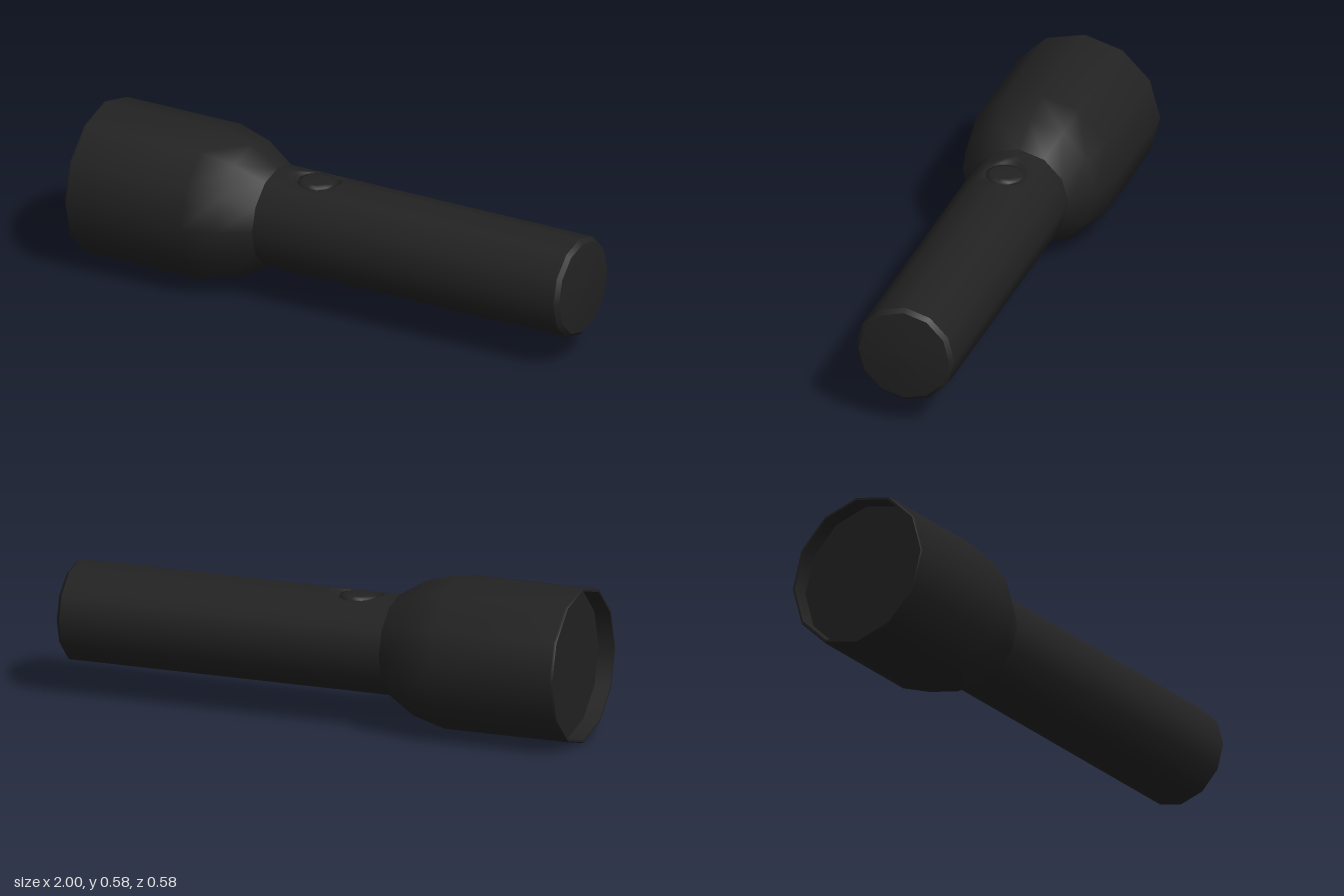
import * as THREE from 'three';

const SIDES = 12;
const AXIS_Y = 0.288;   // height of the centre line
const SHAFT_R = 0.187;
const BUTTON_X = -0.12;
const PATCH_LEN = 0.32; // length of the shaft piece that holds the switch

export function createModel() {
  const black = new THREE.MeshStandardMaterial({ color: 0x222222 });
  black.name = 'matte black';
  const model = new THREE.Group();
  model.name = 'flashlight';

  const add = (name, geometry) => {
    const mesh = new THREE.Mesh(geometry, black);
    mesh.name = name;
    model.add(mesh);
    return mesh;
  };

  // Turned part along x; profile is a list of [x, radius]
  const turned = (name, profile, start = 0, steps = SIDES) => {
    const step = (Math.PI * 2) / SIDES;
    const points = profile.map(([x, r]) => new THREE.Vector2(r, x));
    const geometry = new THREE.LatheGeometry(points, steps, start * step, steps * step);
    geometry.rotateZ(-Math.PI / 2);
    geometry.translate(0, AXIS_Y, 0);
    return add(name, geometry);
  };

  // Head: recessed lens, rim and flared housing
  const lensX = -0.94;
  turned('lens', [[lensX, 0], [lensX, 0.272]]);
  turned('rimInside', [[lensX, 0.272], [-1, 0.276]]);
  turned('rimFace', [[-1, 0.276], [-1, 0.284]]);
  turned('head', [[-1, 0.284], [-0.99, 0.288], [-0.52, 0.288], [-0.39, 0.253], [-0.28, SHAFT_R]]);

  // Shaft: open at the top around the switch, closed behind it
  const patchStart = BUTTON_X - PATCH_LEN / 2;
  const patchEnd = BUTTON_X + PATCH_LEN / 2;
  turned('shaftFront', [[patchStart, SHAFT_R], [patchEnd, SHAFT_R]], 10, 10);
  turned('shaft', [[patchEnd, SHAFT_R], [0.97, SHAFT_R]]);
  turned('tailEdge', [[0.97, SHAFT_R], [0.985, 0.172]]);
  turned('tailCap', [[0.985, 0.172], [0.995, 0.1], [1, 0]]);

  // Switch recess: the two top facets of the shaft, pressed in around the button
  const halfWidth = SHAFT_R * Math.sin(Math.PI / 6);
  const slope = Math.tan(Math.PI / 12);
  const recess = new THREE.PlaneGeometry(PATCH_LEN, halfWidth * 2, 48, 28);
  recess.rotateX(-Math.PI / 2);
  const pos = recess.attributes.position;
  const ridge = AXIS_Y + SHAFT_R;
  for (let i = 0; i < pos.count; i++) {
    const x = pos.getX(i), z = pos.getZ(i);
    const surface = ridge - Math.abs(z) * slope;
    const t = THREE.MathUtils.clamp((Math.hypot(x, z) - 0.075) / 0.03, 0, 1);
    const floor = THREE.MathUtils.lerp(0.452, ridge, t);
    pos.setY(i, Math.min(surface, floor));
  }
  recess.computeVertexNormals();
  // Round normals outside the dent so it blends into the shaft
  const normal = new THREE.Vector3();
  for (let i = 0; i < pos.count; i++) {
    const x = pos.getX(i), z = pos.getZ(i);
    if (Math.hypot(x, z) > 0.108 || Math.abs(z) > halfWidth - 0.001) {
      normal.set(0, pos.getY(i) - AXIS_Y, z).normalize();
      recess.attributes.normal.setXYZ(i, normal.x, normal.y, normal.z);
    }
  }
  add('switchRecess', recess).position.x = BUTTON_X;

  // Button: low dome standing in the recess
  const dome = [[0.07, 0.44], [0.068, 0.459], [0.05, 0.464], [0, 0.466]];
  const button = new THREE.LatheGeometry(dome.map(([r, y]) => new THREE.Vector2(r, y)), SIDES);
  add('button', button).position.x = BUTTON_X;

  return model;
}
